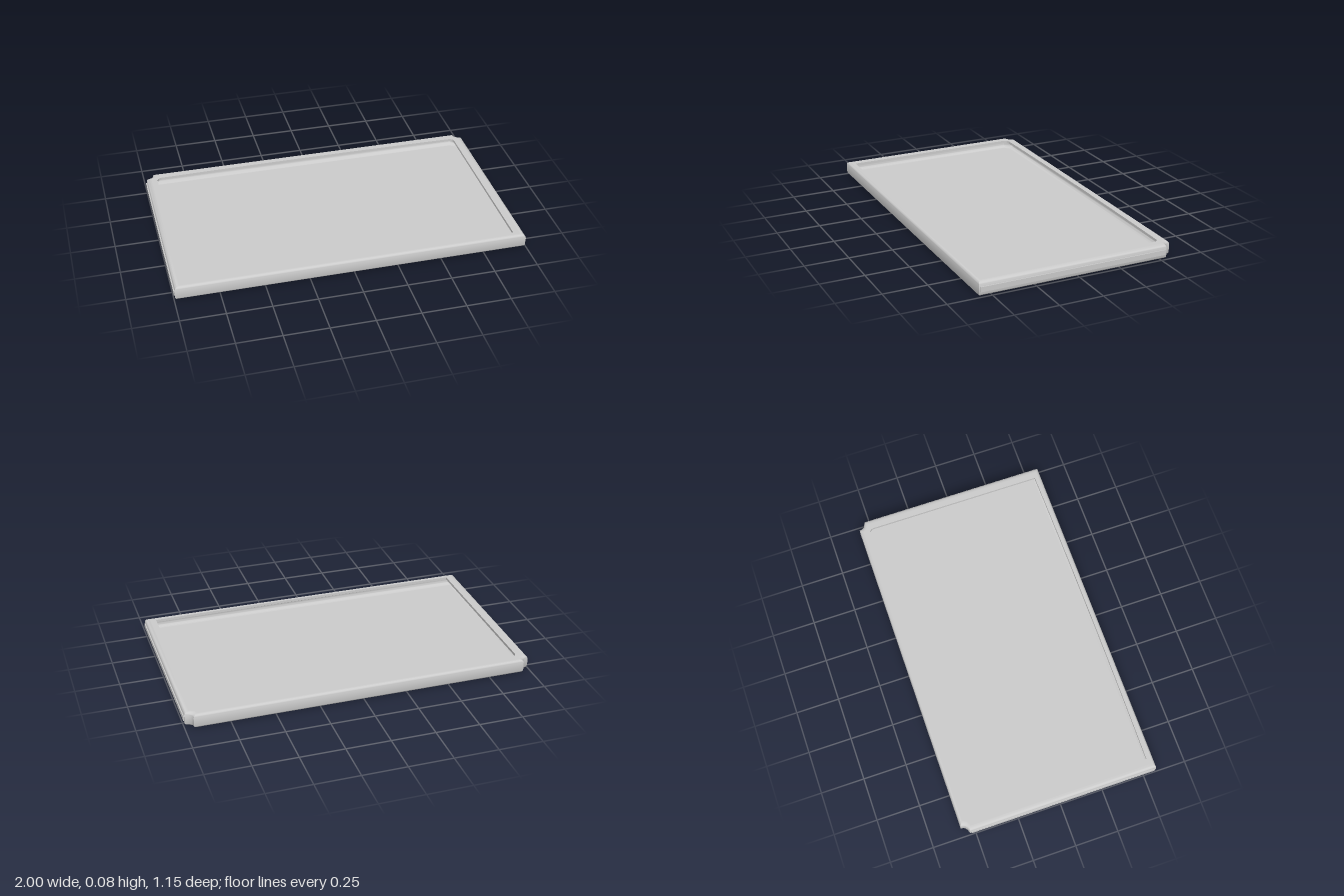
import * as THREE from 'three';
import { mergeGeometries, toCreasedNormals } from 'three/addons/utils/BufferGeometryUtils.js';

const HEIGHT = 0.083, FLOOR = 0.025, LIP = 0.068;
const V = (x, z) => new THREE.Vector2(x, z);

// Moves every edge of an (x, z) loop inwards by d, with mitred corners.
function inset(loop, d) {
  const n = loop.length;
  const inward = (a, b) => V(a.y - b.y, b.x - a.x).normalize();
  return loop.map((p, i) => {
    const n1 = inward(loop[(i + n - 1) % n], p);
    const n2 = inward(p, loop[(i + 1) % n]);
    return p.clone().addScaledVector(n1.clone().add(n2), d / (1 + n1.dot(n2)));
  });
}

function geometry(positions) {
  const g = new THREE.BufferGeometry();
  g.setAttribute('position', new THREE.Float32BufferAttribute(positions, 3));
  return toCreasedNormals(g, 0.6);
}

// Skin through a stack of loops; steps are [inset, height].
function loft(loopAt, steps) {
  const rings = steps.map(([d, y]) => loopAt(d).map(p => [p.x, y, p.y]));
  const out = [];
  for (let k = 0; k + 1 < rings.length; k++) {
    for (let i = 0; i < rings[k].length; i++) {
      const j = (i + 1) % rings[k].length;
      const a = rings[k][i], b = rings[k][j], c = rings[k + 1][i], d = rings[k + 1][j];
      out.push(...a, ...c, ...b, ...b, ...c, ...d);
    }
  }
  return geometry(out);
}

// Flat face at height y, with an optional hole.
function cap(loop, y, up, hole) {
  const holes = hole ? [hole.slice().reverse()] : [];
  const pts = [loop, ...holes].flat();
  const out = [];
  for (const [a, b, c] of THREE.ShapeUtils.triangulateShape(loop, holes)) {
    for (const i of up ? [a, c, b] : [a, b, c]) out.push(pts[i].x, y, pts[i].y);
  }
  return geometry(out);
}

// Rounded [inset, height] steps about a centre.
function arc(cx, cy, r, from, to, n = 6) {
  return Array.from({ length: n + 1 }, (_, i) => {
    const t = from + (to - from) * i / n;
    return [cx + r * Math.cos(t), cy + r * Math.sin(t)];
  });
}

// Mirrors the +x half of a loop, listed from back to front.
function mirrored(half) {
  return [...half, ...half.filter(p => p.x !== 0).reverse().map(p => V(-p.x, p.y))];
}

export function createModel() {
  const group = new THREE.Group();
  group.name = 'tray';
  const material = new THREE.MeshStandardMaterial({ color: 0xcccccc });
  const add = (name, geo) => {
    const mesh = new THREE.Mesh(geo, material);
    mesh.name = name;
    group.add(mesh);
    return mesh;
  };

  // Outline with stepped back corners; the long sides round off more broadly
  const outline = mirrored([
    V(0.952, -0.574), V(0.955, -0.558), V(0.961, -0.547), V(0.974, -0.539),
    V(0.994, -0.532), V(0.994, 0.573),
  ]);
  const outlineAt = d => inset(outline, d).map(p => V(p.x * (1 - 0.5 * d), p.y));

  // Opening: rounded back corners, front and back edges slightly bowed
  const half = [];
  for (let i = 0; i < 6; i++) {
    const x = 0.905 * i / 6;
    half.push(V(x, -0.519 - 0.008 * (1 - (x / 0.905) ** 2)));
  }
  for (let i = 0; i <= 6; i++) {
    const t = -Math.PI / 2 + Math.PI / 2 * i / 6;
    half.push(V(0.905 + 0.028 * Math.cos(t), -0.491 + 0.028 * Math.sin(t)));
  }
  for (let i = 6; i >= 0; i--) {
    const x = 0.933 * i / 6;
    half.push(V(x, 0.535 + 0.008 * (1 - (x / 0.933) ** 2)));
  }
  const opening = mirrored(half);

  // Hollow that reaches out beneath the rim, with cut back corners
  const hollow = mirrored([V(0.93, -0.557), V(0.978, -0.517), V(0.978, 0.557)]);
  const hollowAt = d => inset(hollow, d);

  // Rounded outer wall, and hollow wall with a fillet at the ceiling and floor
  const r = 0.018, top = 0.012, fillet = 0.022;
  const outerWall = [
    ...arc(r, r, r, Math.PI * 1.5, Math.PI),
    ...arc(r, HEIGHT - r, r, Math.PI, Math.PI / 2),
  ];
  const innerWall = [
    ...arc(top, LIP - top, top, Math.PI / 2, Math.PI),
    ...arc(fillet, FLOOR + fillet, fillet, Math.PI, Math.PI * 1.5),
  ];
  add('trayBody', mergeGeometries([
    loft(outlineAt, outerWall),
    cap(outlineAt(r), 0, false),
    cap(hollowAt(fillet), FLOOR, true),
    loft(hollowAt, innerWall),
  ]));

  // Overhanging rim
  add('rim', mergeGeometries([
    cap(outlineAt(r), HEIGHT, true, opening),
    loft(d => inset(opening, d), [[0, HEIGHT], [0, LIP]]),
    cap(hollowAt(top), LIP, false, opening),
  ]));

  // Slim runner along each side
  for (const [name, side] of [['leftRunner', 1], ['rightRunner', -1]]) {
    add(name, new THREE.BoxGeometry(0.02, 0.028, 1.088)).position.set(side * 0.99, 0.042, 0.02);
  }
  return group;
}
